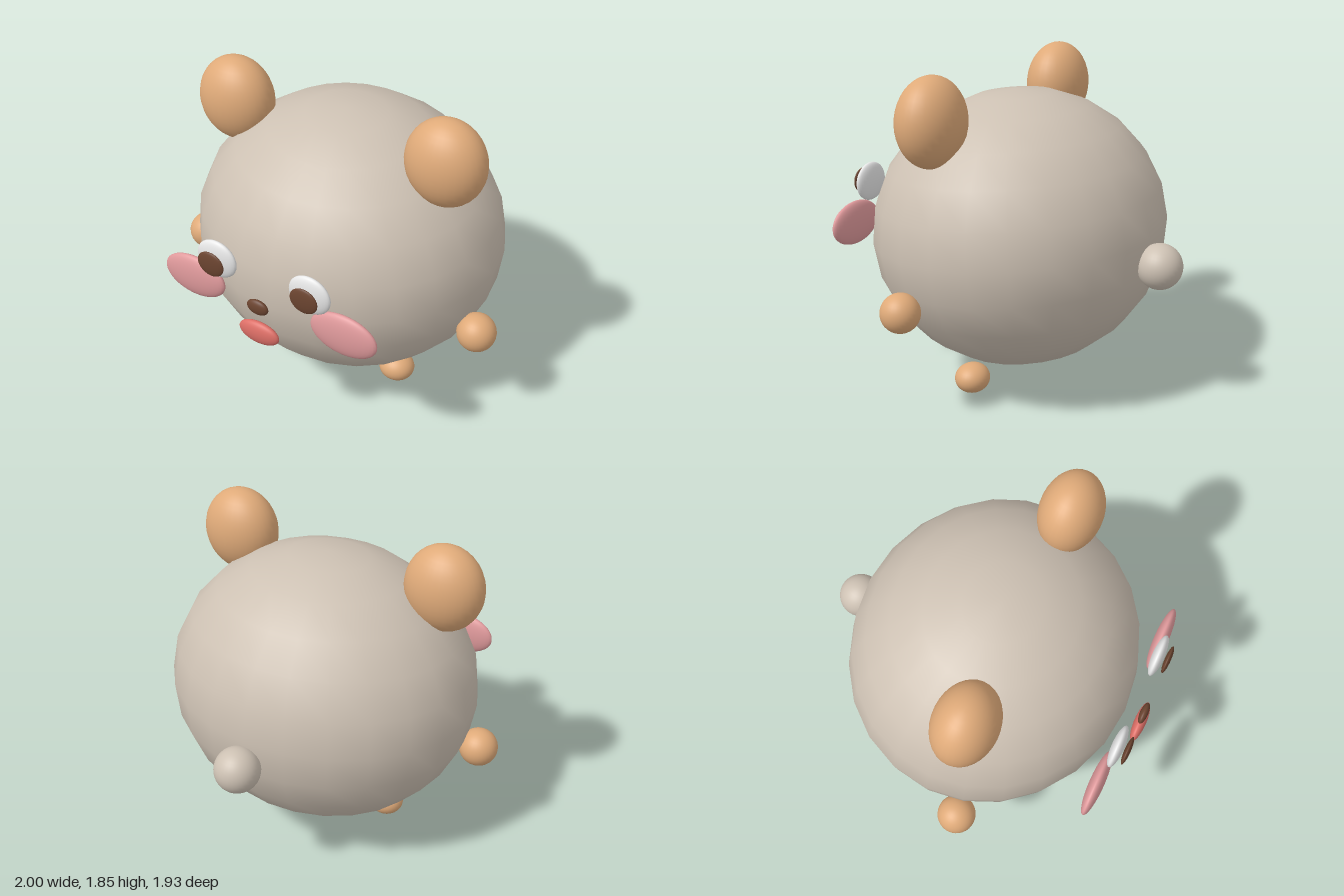
import * as THREE from 'three';

export function createModel() {
  const model = new THREE.Group();
  model.name = 'roundBear';

  const paint = (name, color) => {
    const m = new THREE.MeshStandardMaterial({ color });
    m.name = name;
    return m;
  };
  const taupe = paint('taupe', 0xcdc1b3);
  const tan = paint('tan', 0xdfaa79);
  const white = paint('white', 0xececec);
  const brown = paint('brown', 0x6b4430);
  const pink = paint('pink', 0xe09a9c);
  const coral = paint('coral', 0xdc6e66);

  // Ellipsoid at a position with three radii
  const blob = (name, material, pos, radii, w = 32, h = 20) => {
    const mesh = new THREE.Mesh(new THREE.SphereGeometry(1, w, h), material);
    mesh.name = name;
    mesh.position.set(...pos);
    mesh.scale.set(...radii);
    model.add(mesh);
    return mesh;
  };

  // Body, pitched slightly forward, and round tail
  const body = blob('body', taupe, [0, 0.909, 0.022], [0.88, 0.775, 0.805], 24, 12);
  body.rotation.x = 0.06;
  blob('tail', taupe, [0, 0.822, -0.84], [0.124, 0.125, 0.124]);

  // Paired parts
  for (const [side, s] of [['left', 1], ['right', -1]]) {
    blob(side + 'Ear', tan, [s * 0.636, 1.604, 0.162], [0.22, 0.241, 0.171]);
    blob(side + 'Hand', tan, [s * 0.892, 0.642, 0.204], [0.108, 0.107, 0.107]);
    blob(side + 'Foot', tan, [s * 0.371, 0.084, 0.118], [0.105, 0.084, 0.097]);
    blob(side + 'Eye', white, [s * 0.282, 1.104, 0.873], [0.121, 0.111, 0.034]);
    blob(side + 'Pupil', brown, [s * 0.282, 1.104, 0.928], [0.08, 0.073, 0.017]);
    blob(side + 'Cheek', pink, [s * 0.46, 0.907, 0.848], [0.193, 0.125, 0.041]);
  }

  // Nose and mouth
  blob('nose', brown, [0, 0.943, 0.928], [0.064, 0.045, 0.023]);
  blob('mouth', coral, [0, 0.776, 0.928], [0.122, 0.068, 0.034]);

  return model;
}
